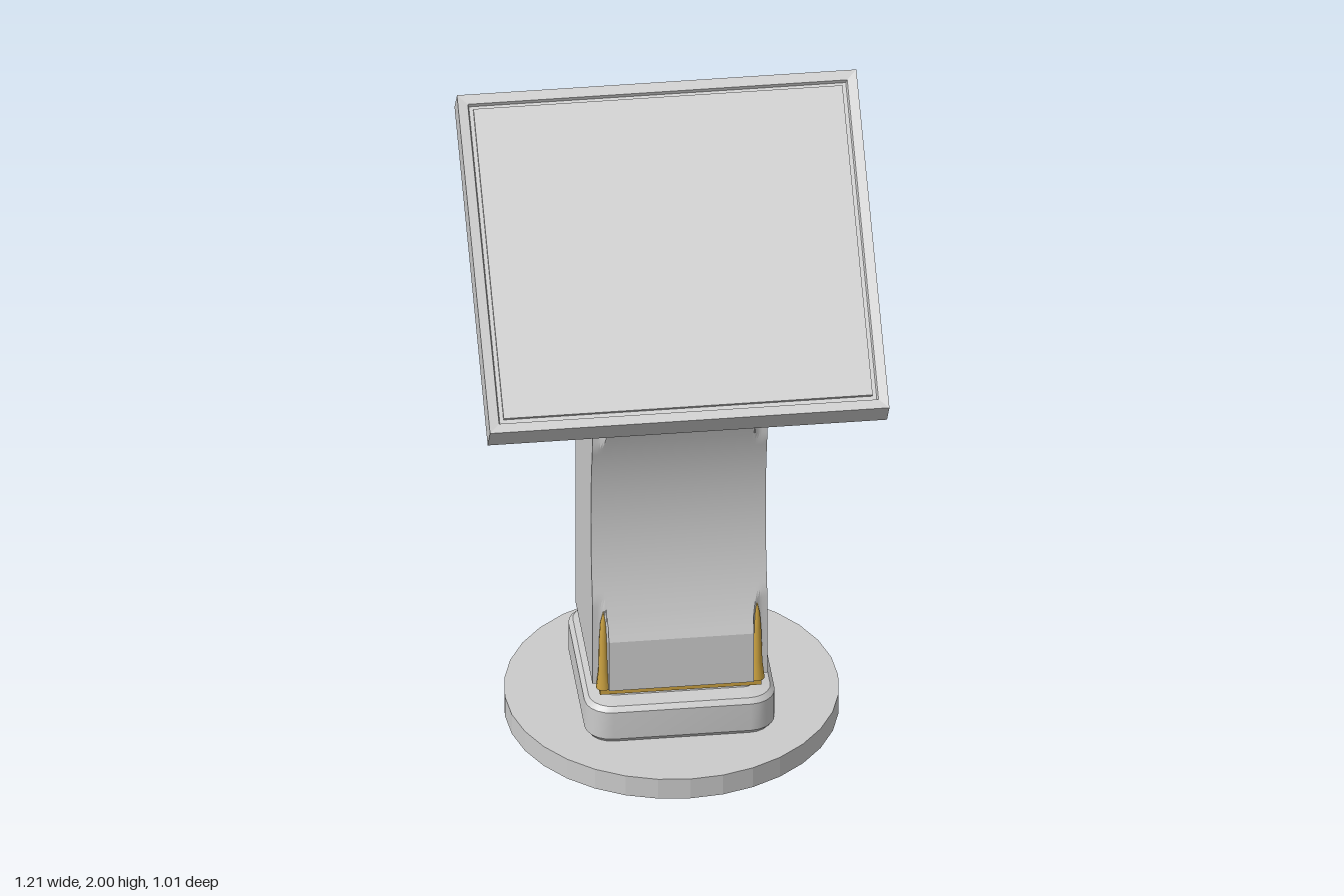
import * as THREE from 'three';
import { toCreasedNormals } from 'three/addons/utils/BufferGeometryUtils.js';

const grey = new THREE.MeshStandardMaterial({ color: 0xcccccc });
const gold = new THREE.MeshStandardMaterial({ color: 0xc9a040 });

// Skin a stack of rings (each a list of [x, y, z], anticlockwise from above), capped at both ends.
function loft(rings, crease = 0.35) {
  const pos = [];
  const tri = (...pts) => pts.forEach((p) => pos.push(...p));
  const n = rings[0].length;
  const middle = (ring) => [0, 1, 2].map((k) => ring.reduce((s, p) => s + p[k], 0) / n);
  const first = rings[0], last = rings[rings.length - 1];
  const c0 = middle(first), c1 = middle(last);
  for (let i = 0; i < n; i++) {
    const j = (i + 1) % n;
    for (let r = 0; r + 1 < rings.length; r++) {
      const a = rings[r], b = rings[r + 1];
      tri(a[i], a[j], b[j]);
      tri(a[i], b[j], b[i]);
    }
    tri(c0, first[j], first[i]);
    tri(c1, last[i], last[j]);
  }
  const geo = new THREE.BufferGeometry();
  geo.setAttribute('position', new THREE.Float32BufferAttribute(pos, 3));
  return toCreasedNormals(geo, crease);
}

// Repeat one corner's [x, z] points around the four corners of a square.
function fourCorners(corner) {
  const out = [];
  let pts = corner;
  for (let k = 0; k < 4; k++) {
    out.push(...pts);
    pts = pts.map(([x, z]) => [z, -x]);
  }
  return out;
}

function add(parent, name, geometry, material = grey) {
  const mesh = new THREE.Mesh(geometry, material);
  mesh.name = name;
  parent.add(mesh);
  return mesh;
}

const clamp = (v, m) => Math.max(-m, Math.min(m, v));

// Underside height of the tilted display at depth z
const SLOPE = 0.741;
const underside = (z) => 1.27 + (0.415 - z) * SLOPE;

function columnGeometry() {
  const W = 0.265, N = 0.22, F = 0.03;
  // Corner groove: two short walls joined by a concave fillet
  const corner = [[N, W]];
  for (let i = 0; i <= 6; i++) {
    const a = (i / 6) * Math.PI / 2;
    corner.push([N + F - F * Math.cos(a), N + F - F * Math.sin(a)]);
  }
  corner.push([W, N]);
  const outline = fourCorners(corner);

  // Circular scoop in the front face
  const R = 0.984;
  const scoop = (y) => {
    const h = Math.abs(y - 0.82);
    return h < 0.4 ? 0.18 + R - Math.sqrt(R * R - h * h) : W;
  };
  const levels = [0.245];
  for (let i = 0; i <= 32; i++) levels.push(0.42 + 0.8 * i / 32);
  levels.push(1.3);
  const rings = levels.map((y) => outline.map(([x, z]) => [x, y, Math.min(z, scoop(y))]));
  // Sloping top with a chamfer up to the display
  rings.push(outline.map(([x, z]) => [x, underside(clamp(z, N)) - 0.04, z]));
  rings.push(outline.map(([x, z]) => [clamp(x, N), underside(clamp(z, N)) + 0.005, clamp(z, N)]));
  return loft(rings);
}

function plinthGeometry() {
  // Rounded-corner square: half width s, corner radius r
  const ring = (s, r, y) => {
    const corner = [];
    for (let i = 0; i <= 5; i++) {
      const a = (i / 5) * Math.PI / 2;
      corner.push([s - r + r * Math.sin(a), s - r + r * Math.cos(a)]);
    }
    return fourCorners(corner).map(([x, z]) => [x, y, z]);
  };
  return loft([
    ring(0.275, 0.07, 0.068), ring(0.288, 0.08, 0.085), ring(0.288, 0.08, 0.18),
    ring(0.275, 0.07, 0.195), ring(0.225, 0.03, 0.202), ring(0.22, 0.03, 0.222),
  ]);
}

function buildDisplay() {
  const display = new THREE.Group();
  display.name = 'display';
  const X = 0.605, Z = 0.5415, T = 0.107;
  const ring = (inset, y) => [[1, 1], [1, -1], [-1, -1], [-1, 1]]
    .map(([sx, sz]) => [sx * (X - inset), y, sz * (Z - inset)]);
  // Housing with a thin border and a shallow recess
  add(display, 'displayHousing', loft([
    ring(0, -T), ring(0, 0), ring(0.03, -0.003), ring(0.034, -0.016),
  ], 0.05));
  // Screen sits in the recess, leaving a narrow groove around it
  add(display, 'screen', loft([ring(0.046, -0.02), ring(0.046, -0.004)], 0.05));
  display.position.set(0, 1.6775, 0.045);
  display.rotation.x = Math.atan(SLOPE);
  return display;
}

export function createModel() {
  const model = new THREE.Group();
  model.name = 'informationKiosk';

  // Round foot
  const foot = add(model, 'footDisc',
    toCreasedNormals(new THREE.CylinderGeometry(0.505, 0.505, 0.07, 32), 0.1));
  foot.position.y = 0.035;

  add(model, 'plinth', plinthGeometry());

  // Gold plate below the column
  const plate = add(model, 'trimPlate', new THREE.BoxGeometry(0.49, 0.026, 0.49), gold);
  plate.position.y = 0.233;

  add(model, 'column', columnGeometry());

  // Gold spikes in the corner grooves, shorter at the front
  const spike = (profile) => new THREE.LatheGeometry(
    profile.map(([r, y]) => new THREE.Vector2(r, y)), 10);
  const tall = spike([[0.023, 0], [0.015, 0.06], [0.011, 0.22], [0, 0.49]]);
  const short = spike([[0.023, 0], [0.016, 0.06], [0.013, 0.17], [0.009, 0.23], [0, 0.27]]);
  for (const side of [1, -1]) {
    const front = add(model, side > 0 ? 'frontLeftSpike' : 'frontRightSpike', short, gold);
    front.position.set(side * 0.233, 0.24, 0.233);
    front.rotation.x = -0.03;
    const back = add(model, side > 0 ? 'backLeftSpike' : 'backRightSpike', tall, gold);
    back.position.set(side * 0.234, 0.24, -0.234);
  }

  model.add(buildDisplay());
  return model;
}
